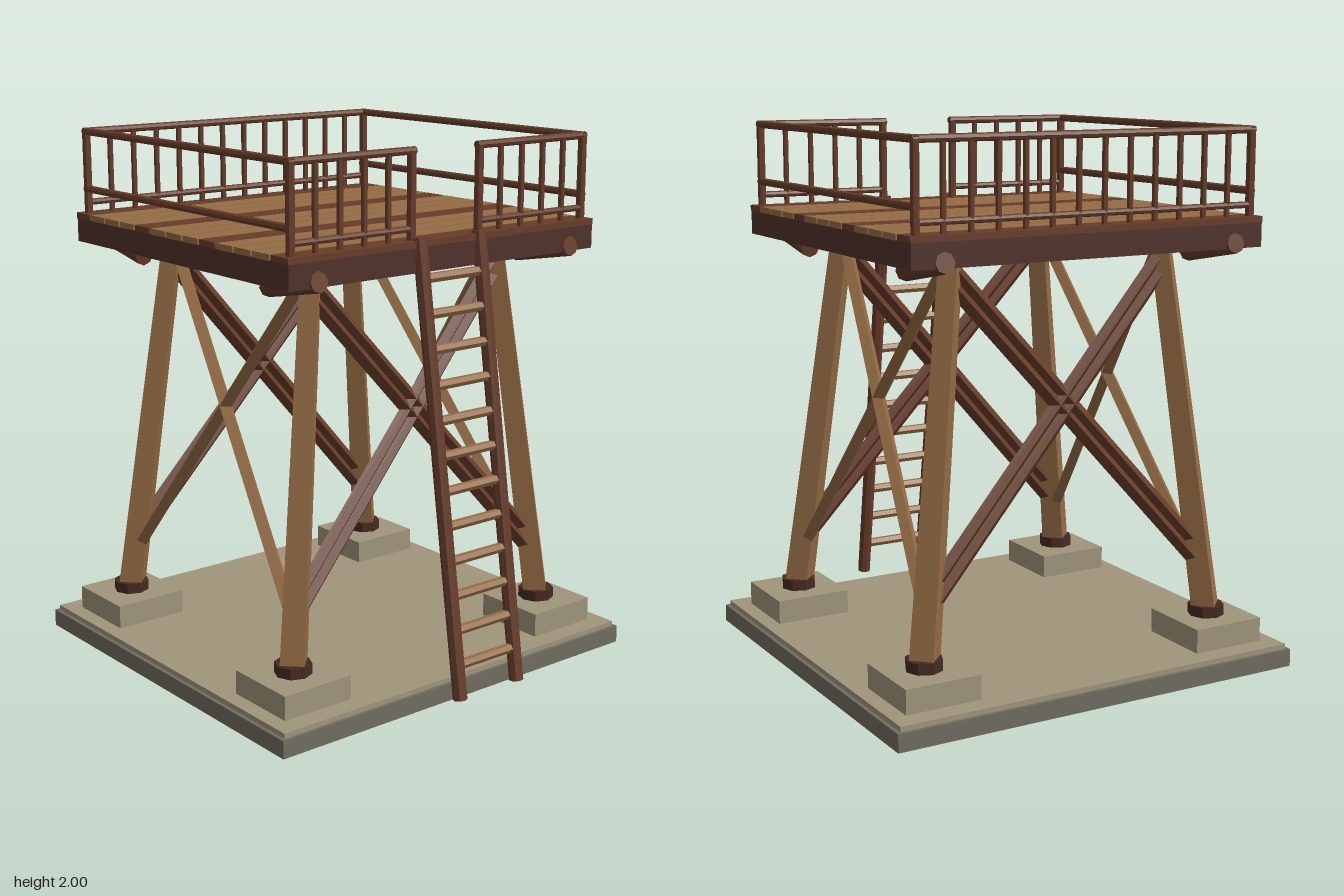
import * as THREE from 'three';

const mat = (name, color) => {
  const m = new THREE.MeshStandardMaterial({ color });
  m.name = name;
  m.flatShading = true;
  return m;
};

export function createModel() {
  const model = new THREE.Group();
  model.name = 'watchtower';

  const stone = mat('dark stone', 0x706c61);
  const concrete = mat('concrete', 0xa0957b);
  const wood = mat('light wood', 0x956c45);
  const redWood = mat('red brown wood', 0x673c29);
  const darkWood = mat('dark wood', 0x50312a);
  const iron = mat('dark collar', 0x452a20);

  const CZ = -0.08; // tower centre in z

  const add = (name, geometry, material, x = 0, y = 0, z = 0) => {
    const mesh = new THREE.Mesh(geometry, material);
    mesh.name = name;
    mesh.position.set(x, y, z);
    model.add(mesh);
    return mesh;
  };
  const box = (name, material, w, h, d, x, y, z) =>
    add(name, new THREE.BoxGeometry(w, h, d), material, x, y, z);

  // Straight pole between two points, with optional taper
  const pole = (name, material, a, b, r0, r1 = r0, sides = 8) => {
    const from = new THREE.Vector3(...a);
    const dir = new THREE.Vector3(...b).sub(from);
    const mesh = add(name, new THREE.CylinderGeometry(r1, r0, dir.length(), sides), material);
    mesh.position.copy(from).addScaledVector(dir, 0.5);
    mesh.quaternion.setFromUnitVectors(new THREE.Vector3(0, 1, 0), dir.normalize());
    return mesh;
  };

  // Leg centre line offsets at height y
  const Y0 = 0.175, Y1 = 1.58;
  const legX = (y) => THREE.MathUtils.mapLinear(y, Y0, Y1, 0.6, 0.432);
  const legZ = (y) => THREE.MathUtils.mapLinear(y, Y0, Y1, 0.535, 0.43);

  // Ground slab
  box('baseSlab', stone, 1.64, 0.066, 1.54, 0, 0.033, CZ);
  box('slabTop', concrete, 1.61, 0.02, 1.515, 0, 0.075, CZ);

  // Footings, collars, legs and the log brackets under the deck
  for (const sx of [-1, 1]) {
    for (const sz of [-1, 1]) {
      box('footing', concrete, 0.29, 0.09, 0.29, sx * 0.6, 0.13, CZ + sz * 0.535);
      add('legCollar', new THREE.CylinderGeometry(0.068, 0.068, 0.04, 8), iron,
        sx * 0.6, 0.195, CZ + sz * 0.535);
      pole('leg', wood, [sx * 0.6, Y0, CZ + sz * 0.535],
        [sx * legX(Y1), Y1, CZ + sz * legZ(Y1)], 0.062, 0.047, 4);
      pole('deckBracket', redWood, [sx * 0.585, 1.535, CZ + sz * 0.39],
        [sx * 0.585, 1.59, CZ + sz * 0.675], 0.037);
    }
  }

  // Crossed braces: single on the sides, paired on the front and back
  for (const side of [-1, 1]) {
    for (const dir of [-1, 1]) {
      const top = 1.55, low = 0.39;
      pole('sideBrace', wood,
        [side * legX(low), low, CZ - dir * 0.48],
        [side * legX(top), top, CZ + dir * 0.4], 0.027, 0.027, 4);
      for (const drop of [0, 0.065]) {
        const hi = 1.535 - drop, lo = 0.45 - drop;
        pole('crossBrace', redWood,
          [dir * 0.555, lo, CZ + side * legZ(lo)],
          [-dir * 0.425, hi, CZ + side * legZ(hi)], 0.026, 0.026, 4);
      }
    }
  }

  // Deck frame and planks
  box('deckFrame', darkWood, 1.41, 0.09, 1.335, 0, 1.615, CZ);
  const PLANKS = 13, pitch = 1.345 / PLANKS;
  for (let i = 0; i < PLANKS; i++) {
    box('deckPlank', i % 4 === 0 ? redWood : wood, 1.415, 0.022, pitch - 0.009,
      0, 1.669, CZ - 0.6725 + (i + 0.5) * pitch);
  }

  // Railings
  const RX = 0.673, ZF = 0.555, ZB = -0.715, RY = 1.986, GAP = 0.156;
  const rail = (name, a, b, r = 0.014) => pole(name, redWood, a, b, r);
  const upright = (name, x, z, r) => rail(name, [x, 1.675, z], [x, RY, z], r);

  for (const sx of [-1, 1]) {
    // Side rails
    rail('sideTopRail', [sx * RX, RY, ZB - 0.012], [sx * RX, RY, ZF + 0.012]);
    rail('sideMidRail', [sx * RX, 1.77, ZB - 0.012], [sx * RX, 1.77, ZF + 0.012]);
    // Front rails beside the ladder opening
    rail('frontTopRail', [sx * (RX + 0.012), RY, ZF], [sx * (GAP - 0.014), RY, ZF]);
    rail('frontLowRail', [sx * RX, 1.72, ZF], [sx * GAP, 1.72, ZF], 0.012);
    upright('cornerPost', sx * RX, ZF, 0.016);
    upright('cornerPost', sx * RX, ZB, 0.016);
    upright('gatePost', sx * GAP, ZF, 0.016);
    // Balusters
    for (let k = 0; k < 6; k++) {
      const x = sx * (0.052 + k * 0.1038);
      upright('backBaluster', x, ZB, 0.011);
      if (k >= 2) upright('frontBaluster', x, ZF, 0.011);
    }
  }
  rail('backTopRail', [-RX - 0.012, RY, ZB], [RX + 0.012, RY, ZB]);
  rail('backLowRail', [-RX, 1.72, ZB], [RX, 1.72, ZB], 0.012);

  // Leaning ladder
  const ladderZ = (y) => THREE.MathUtils.mapLinear(y, 0.07, 1.69, 0.823, 0.578);
  for (const sx of [-1, 1]) {
    pole('ladderRail', redWood, [sx * 0.138, 0.072, ladderZ(0.072)],
      [sx * 0.138, 1.69, ladderZ(1.69)], 0.026);
  }
  for (let i = 0; i < 12; i++) {
    const y = 0.195 + i * 0.1232;
    pole('ladderRung', wood, [-0.135, y, ladderZ(y)], [0.135, y, ladderZ(y)], 0.018, 0.018, 6);
  }

  return model;
}
